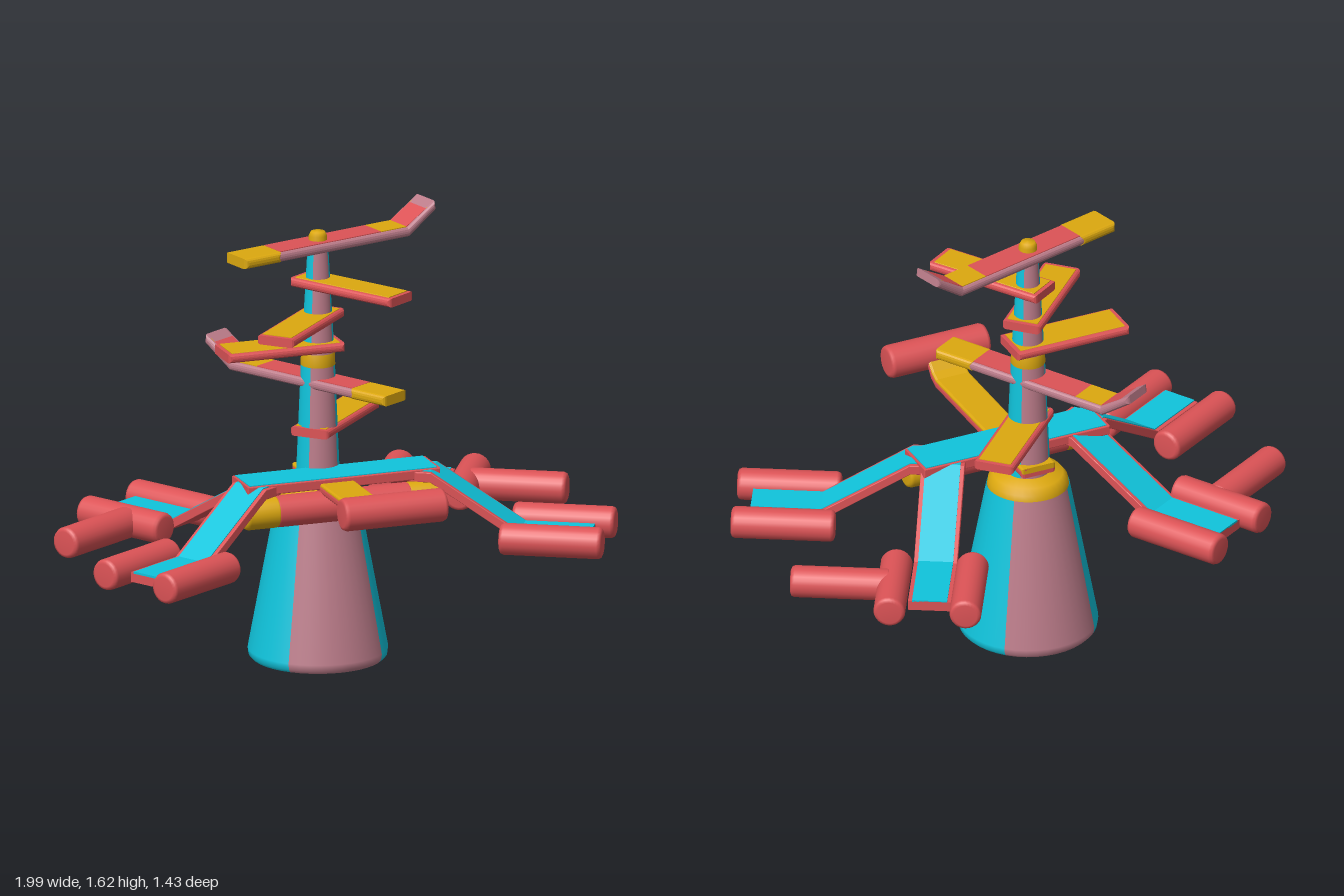
import * as THREE from 'three';

const mat = (color) => new THREE.MeshStandardMaterial({ color, side: THREE.DoubleSide });
const CYAN = mat(0x10c4dc), PINK = mat(0xbc7c8a), RED = mat(0xdc5356), GOLD = mat(0xdca80f), GREY = mat(0xcccccc);
const RAD = Math.PI / 180;

function add(parent, name, geometry, material) {
  const mesh = new THREE.Mesh(geometry, material);
  mesh.name = name;
  parent.add(mesh);
  return mesh;
}

const lathe = (pts, segments = 32, start = 0, length = Math.PI * 2) =>
  new THREE.LatheGeometry(pts.map(([r, y]) => new THREE.Vector2(r, y)), segments, start, length);

// Strip that follows a side path of [along, height] points, w wide and t thick, with edges rounded by b
function strip(path, w, t, b) {
  const last = path.length - 1;
  const p = path.map(([s, y], i) => [s + (i === 0 ? b : i === last ? -b : 0), y]);
  const h = t / 2 - b;
  const outline = [...p.map(([s, y]) => [s, y - h]), ...p.slice().reverse().map(([s, y]) => [s, y + h])];
  const shape = new THREE.Shape(outline.map(([s, y]) => new THREE.Vector2(s, y)));
  const g = new THREE.ExtrudeGeometry(shape, {
    depth: w - 2 * b, bevelEnabled: b > 0, bevelSize: b, bevelThickness: b, bevelSegments: 3,
  });
  g.translate(0, 0, -(w - 2 * b) / 2);
  return g;
}

const raise = (path, d) => path.map(([s, y]) => [s, y + d]);

// Group placed on the plan, turned so that its local +x runs along the given heading
function arm(parent, name, x, z, degrees) {
  const g = new THREE.Group();
  g.name = name;
  g.position.set(x, 0, z);
  g.rotation.y = degrees * RAD;
  parent.add(g);
  return g;
}

// Lying roller with rounded ends
function roller(parent, name, x, y, z, length, degrees, r = 0.057) {
  const h = length / 2, e = 0.015;
  const geo = lathe([[0, -h], [r - e, -h], [r - e * 0.3, -h + e * 0.3], [r, -h + e],
    [r, h - e], [r - e * 0.3, h - e * 0.3], [r - e, h], [0, h]], 24);
  geo.rotateZ(-Math.PI / 2);
  const m = add(parent, name, geo, RED);
  m.position.set(x, y, z);
  m.rotation.y = degrees * RAD;
  return m;
}

// Tapered body in four alternating coloured quarters
function quarters(parent, name, pts) {
  for (let i = 0; i < 4; i++) {
    add(parent, name, lathe(pts, 10, (i - 0.5) * Math.PI / 2, Math.PI / 2), i % 2 ? CYAN : PINK);
  }
}

export function createModel() {
  const model = new THREE.Group();
  const CX = -0.03, CZ = -0.083;

  // Pedestal, collars and mast
  const tower = arm(model, 'tower', CX, CZ, 0);
  quarters(tower, 'pedestal', [[0.235, 0], [0.247, 0.012], [0.25, 0.035], [0.148, 0.585]]);
  const bottom = add(tower, 'pedestalBottom', new THREE.CircleGeometry(0.236, 40), GREY);
  bottom.rotation.x = Math.PI / 2;
  bottom.position.y = 0.001;
  add(tower, 'pedestalCollar', lathe([[0.146, 0.58], [0.142, 0.605], [0.125, 0.627], [0.075, 0.642]]), GOLD);
  quarters(tower, 'mast', [[0.08, 0.62], [0.06, 1.1], [0.036, 1.53]]);
  add(tower, 'mastCollar', lathe([[0.057, 1.075], [0.062, 1.08], [0.06, 1.125], [0.054, 1.13]]), GOLD);
  add(tower, 'mastCap', lathe([[0.033, 1.5], [0.033, 1.555], [0.025, 1.57], [0, 1.573]], 20), GOLD);

  // Flat blades: height, heading, reach, width
  const blades = [[1.383, -58, 0.375, 0.14], [1.257, -135, 0.365, 0.145], [1.152, 180, 0.365, 0.16], [0.842, 45, 0.37, 0.15]];
  for (const [y, heading, reach, w] of blades) {
    const g = arm(model, 'flatBlade', CX, CZ, heading);
    const path = [[-0.075, y], [reach, y]];
    add(g, 'bladeRim', strip(path, w, 0.033, 0.014), RED);
    add(g, 'bladeTop', strip([[-0.06, y + 0.015], [reach - 0.015, y + 0.015]], w - 0.03, 0.008, 0.002), GOLD);
  }

  // Long blades with an upturned tip and coloured bands
  for (const [y, heading] of [[1.52, 15], [1.018, 120]]) {
    const g = arm(model, 'bentBlade', CX, CZ, heading);
    const up = y + 0.017;
    add(g, 'bentBladeBody', strip([[-0.355, y], [0.355, y], [0.475, y + 0.075]], 0.125, 0.035, 0.014), PINK);
    add(g, 'bentBladeEnd', strip([[-0.358, y], [-0.2, y]], 0.128, 0.038, 0.014), GOLD);
    add(g, 'bentBladeTop', strip([[-0.2, up], [0.24, up]], 0.1, 0.006, 0), RED);
    add(g, 'bentBladeBand', strip([[0.24, up], [0.35, up]], 0.1, 0.006, 0), GOLD);
    add(g, 'tipTop', strip([[0.35, up], [0.435, up + 0.053]], 0.1, 0.006, 0), RED);
    add(g, 'tipBand', strip([[0.435, up + 0.053], [0.465, up + 0.072]], 0.1, 0.006, 0), GOLD);
  }

  // Front arm with its cross roller
  const front = arm(model, 'frontArm', CX, CZ, -90);
  const armPath = [[-0.09, 0.675], [0.62, 0.675], [0.655, 0.69], [0.7, 0.73]];
  add(front, 'frontArmBody', strip(armPath, 0.135, 0.034, 0.012), RED);
  add(front, 'frontArmTop', strip(raise(armPath, 0.01), 0.132, 0.022, 0.008), GOLD);
  roller(model, 'frontRoller', -0.02, 0.74, 0.655, 0.39, 0, 0.06);

  // Crossbar with coloured ends, set against the pedestal
  roller(model, 'crossbar', -0.015, 0.612, 0.12, 0.52, 0);
  for (const s of [-1, 1]) {
    const end = roller(model, 'crossbarEnd', -0.015 + s * 0.307, 0.612, 0.12, 0.135, 0);
    end.material = GOLD;
  }

  // Main beam
  const beam = arm(model, 'beam', -0.005, 0.036, 0);
  add(beam, 'beamBody', strip([[-0.365, 0.692], [0.365, 0.692]], 0.165, 0.036, 0.004), RED);
  add(beam, 'beamTop', strip([[-0.355, 0.71], [0.355, 0.71]], 0.15, 0.006, 0), CYAN);

  // Four legs dropping from the beam, with their rollers
  for (const s of [1, -1]) {
    const heading = (a) => (s > 0 ? a : 180 - a);
    const shift = s > 0 ? 0 : 0.03;
    const legs = [
      ['frontLeg', 0.28, 0.04, -30, [[0, 0.685], [0.08, 0.685], [0.4, 0.482], [0.65, 0.482]]],
      ['backLeg', 0.25, 0.02 + shift / 2, 60, [[0, 0.685], [0.06, 0.685], [0.4, 0.482], [0.68, 0.482]]],
    ];
    for (const [name, x, z, a, path] of legs) {
      const leg = arm(model, name, s * x, z, heading(a));
      add(leg, name + 'Body', strip(path, 0.155, 0.036, 0.003), RED);
      add(leg, name + 'Top', strip(raise(path, 0.018), 0.125, 0.008, 0), CYAN);
    }
    const y = 0.487;
    roller(model, 'frontLegRoller', s * 0.81, y, 0.175, 0.37, heading(-30));
    roller(model, 'frontLegRoller', s * 0.672, y, 0.41, 0.37, heading(-30));
    roller(model, 'backLegRoller', s * 0.418, y, -0.535 + shift, 0.37, heading(60));
    roller(model, 'backLegRoller', s * 0.653, y, -0.4 + shift, 0.37, heading(60));
    roller(model, 'backSideRoller', s * 0.805, y, -0.292 + shift * 1.3, 0.36, heading(-30));
  }
  return model;
}
